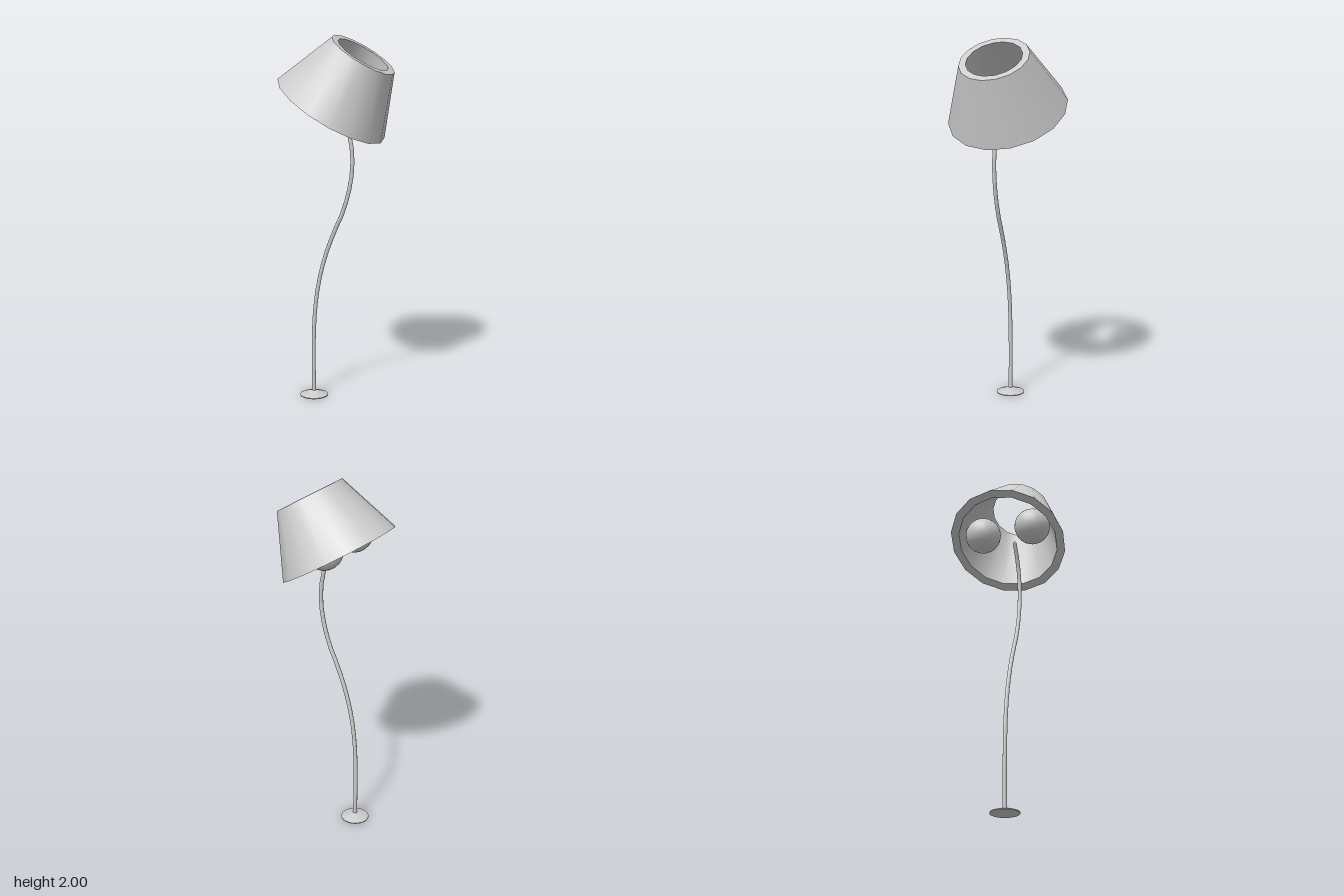
import * as THREE from 'three';
import { toCreasedNormals } from 'three/addons/utils/BufferGeometryUtils.js';

const grey = new THREE.MeshStandardMaterial({ color: 0xcccccc });
grey.name = 'light grey';

function part(name, geometry, parent) {
  const mesh = new THREE.Mesh(geometry, grey);
  mesh.name = name;
  parent.add(mesh);
  return mesh;
}

// Revolved profile with smooth sides and sharp rims
function turned(profile, sides) {
  const points = profile.map(([r, y]) => new THREE.Vector2(r, y));
  return toCreasedNormals(new THREE.LatheGeometry(points, sides), 0.5);
}

export function createModel() {
  const lamp = new THREE.Group();
  lamp.name = 'floorLamp';
  const poleZ = 0.023;

  // Shallow conical foot
  const base = part('base', turned([[0, 0], [0.078, 0], [0.078, 0.005], [0.012, 0.028], [0, 0.03]], 24), lamp);
  base.position.set(-0.127, 0, poleZ);

  // S-curved pole
  const path = [
    [-0.127, 0.01], [-0.129, 0.28], [-0.12, 0.49], [-0.098, 0.65], [-0.06, 0.8], [-0.008, 0.94],
    [0.045, 1.06], [0.082, 1.19], [0.098, 1.31], [0.092, 1.42], [0.066, 1.525], [0.02, 1.62],
  ].map(([x, y]) => new THREE.Vector3(x, y, poleZ));
  part('pole', new THREE.TubeGeometry(new THREE.CatmullRomCurve3(path), 22, 0.0115, 8), lamp);
  const tip = part('poleTip', new THREE.SphereGeometry(0.0115, 8, 6), lamp);
  tip.position.copy(path[path.length - 1]);

  // Tilted thick-walled shade, open at both ends
  const shade = part('shade', turned([
    [0.328, 0], [0.19, 0.342], [0.152, 0.342], [0.282, 0], [0.328, 0],
  ], 16), lamp);
  shade.position.set(-0.031, 1.61, 0);
  shade.rotation.z = -0.555;

  // Pair of round bulbs
  for (const side of [-1, 1]) {
    const bulb = part(side > 0 ? 'frontBulb' : 'backBulb', new THREE.SphereGeometry(0.1, 20, 14), lamp);
    bulb.position.set(-0.033, 1.677, side * 0.148);
  }
  return lamp;
}
